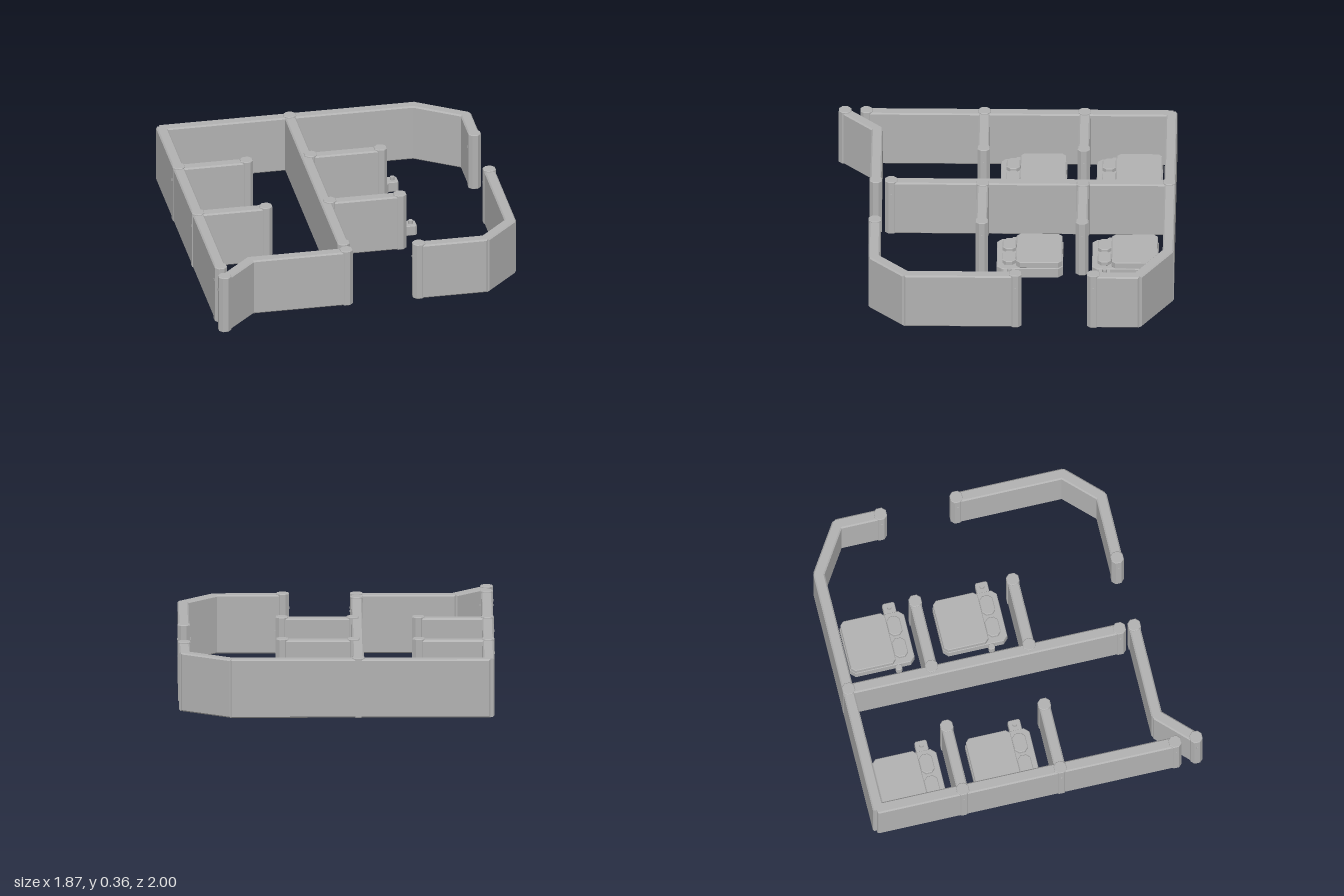
import * as THREE from 'three';

const grey = new THREE.MeshStandardMaterial({ color: 0xb2b2b2 });
grey.name = 'plain grey';

const WALL_H = 0.352, WALL_T = 0.066, POST_H = 0.36, POST_W = 0.074;

function addMesh(parent, name, geometry, x = 0, y = 0, z = 0) {
  const mesh = new THREE.Mesh(geometry, grey);
  mesh.name = name;
  mesh.position.set(x, y, z);
  parent.add(mesh);
  return mesh;
}

// Upright slab of w x d plan with cut corners and a small bevelled rim, standing on y = 0
function cutBlock(w, d, h, cut, bevel = 0.004) {
  const a = w / 2 - bevel, b = d / 2 - bevel;
  const points = [[a - cut, -b], [a, -b + cut], [a, b - cut], [a - cut, b],
    [-a + cut, b], [-a, b - cut], [-a, -b + cut], [-a + cut, -b]];
  const shape = new THREE.Shape(points.map(([x, y]) => new THREE.Vector2(x, y)));
  const g = new THREE.ExtrudeGeometry(shape, {
    depth: h - 2 * bevel, bevelSize: bevel, bevelThickness: bevel, bevelSegments: 1,
  });
  return g.translate(0, 0, bevel).rotateX(-Math.PI / 2);
}

// Wall panel between two plan points, with chamfered borders on both faces
function addWall(parent, x0, z0, x1, z1) {
  const length = Math.hypot(x1 - x0, z1 - z0) + 0.02, bevel = 0.008;
  const a = length / 2 - bevel;
  const shape = new THREE.Shape([[-a, bevel], [a, bevel], [a, WALL_H - bevel], [-a, WALL_H - bevel]]
    .map(([x, y]) => new THREE.Vector2(x, y)));
  const g = new THREE.ExtrudeGeometry(shape, {
    depth: WALL_T - 2 * bevel, bevelSize: bevel, bevelThickness: bevel, bevelSegments: 1,
  });
  g.translate(0, 0, -WALL_T / 2 + bevel);
  const wall = addMesh(parent, 'wallPanel', g, (x0 + x1) / 2, 0, (z0 + z1) / 2);
  wall.rotation.y = -Math.atan2(z1 - z0, x1 - x0);
}

// Post with a small connecting pin
function addPost(parent, x, z) {
  const post = new THREE.Group();
  post.name = 'post';
  post.position.set(x, 0, z);
  addMesh(post, 'postBody', cutBlock(POST_W, POST_W, POST_H, 0.018));
  addMesh(post, 'postPin', new THREE.BoxGeometry(POST_W + 0.008, 0.012, 0.008), 0, 0.27, 0);
  parent.add(post);
}

// Double bed with blanket, two pillows and side tables
function addBed(parent, x, z) {
  const bed = new THREE.Group();
  bed.name = 'bed';
  bed.position.set(x, 0, z);
  addMesh(bed, 'bedBase', cutBlock(0.325, 0.39, 0.066, 0.026));
  addMesh(bed, 'blanket', cutBlock(0.32, 0.27, 0.042, 0.02), 0, 0.065, -0.055);
  for (const side of [-1, 1]) {
    addMesh(bed, 'pillow', cutBlock(0.118, 0.08, 0.03, 0.02), side * 0.07, 0.064, 0.122);
  }
  addMesh(bed, 'sideTable', cutBlock(0.07, 0.074, 0.065, 0.006), 0.192, 0, 0.12);
  addMesh(bed, 'tableLamp', new THREE.CylinderGeometry(0.014, 0.014, 0.02, 12), 0.195, 0.075, 0.12);
  addMesh(bed, 'sideLedge', cutBlock(0.036, 0.038, 0.06, 0.006), -0.178, 0, 0.09);
  parent.add(bed);
}

export function createModel() {
  const model = new THREE.Group();
  model.name = 'roomLayout';

  // Wall runs, each a chain of plan points
  const runs = [
    [[-0.898, 0.83], [-0.898, -0.968], [0.615, -0.968], [0.893, -0.79], [0.893, -0.53]],
    [[0.893, -0.07], [0.893, 0.575], [0.705, 0.765], [0.305, 0.765]],
    [[-0.13, 0.765], [-0.705, 0.765], [-0.898, 0.957]],
    [[-0.13, -0.968], [-0.13, 0.675]],
  ];
  // Short partitions beside the beds
  for (const z of [-0.456, 0.135]) {
    runs.push([[-0.898, z], [-0.49, z]], [[-0.105, z], [0.315, z]]);
    for (const x of [-0.898, -0.49, -0.105, 0.315]) addPost(model, x, z);
  }
  for (const run of runs) {
    for (let i = 1; i < run.length; i++) addWall(model, ...run[i - 1], ...run[i]);
  }

  // Posts at the free ends and the back junction
  const ends = [[-0.898, 0.83], [-0.898, 0.957], [-0.13, 0.765], [-0.13, 0.675],
    [-0.13, -0.965], [0.305, 0.765], [0.893, -0.53], [0.893, -0.07]];
  for (const [x, z] of ends) addPost(model, x, z);

  for (const [x, z] of [[-0.668, -0.725], [-0.668, -0.16], [0.217, -0.71], [0.217, -0.148]]) {
    addBed(model, x, z);
  }
  return model;
}
